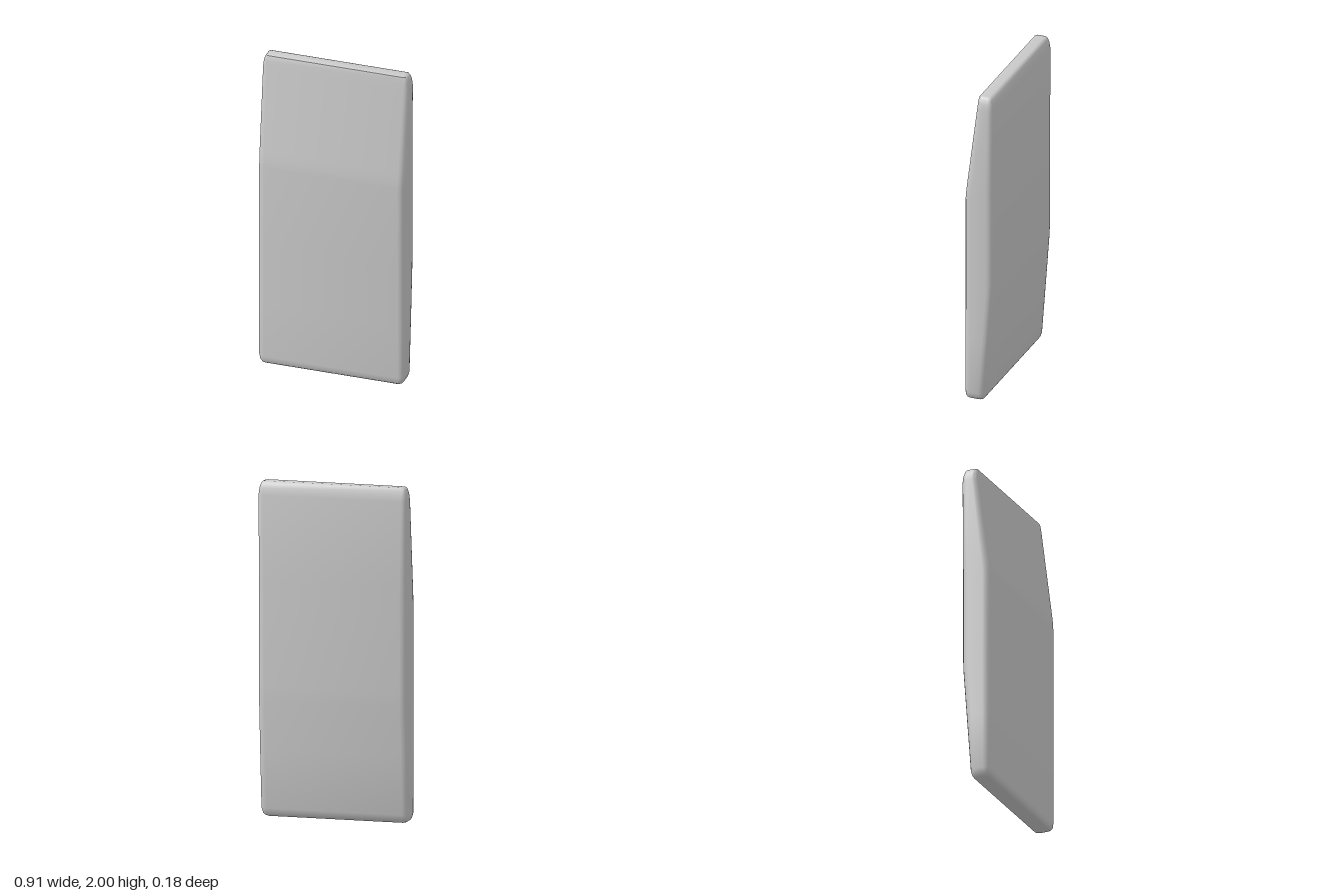
import * as THREE from 'three';
import { toCreasedNormals } from 'three/addons/utils/BufferGeometryUtils.js';

const STEPS = 4; // segments per rounded corner

// Horizontal sections: height, half width, front z, back z, corner radius
const SECTIONS = [
  [0, 0.42, 0.068, -0.008, 0.018],
  [0.008, 0.435, 0.08, -0.024, 0.025],
  [0.022, 0.445, 0.088, -0.034, 0.032],
  [0.05, 0.454, 0.09, -0.042, 0.04],
  [0.4, 0.455, 0.09, -0.068, 0.042],
  [0.7, 0.455, 0.09, -0.09, 0.043],
  [0.78, 0.455, 0.09, -0.093, 0.043],
  [1.3, 0.455, 0.09, -0.093, 0.043],
  [1.34, 0.455, 0.088, -0.093, 0.043],
  [1.4, 0.455, 0.081, -0.093, 0.042],
  [1.92, 0.455, 0.013, -0.093, 0.034],
  [1.96, 0.45, 0.008, -0.087, 0.028],
  [1.985, 0.441, 0.004, -0.079, 0.02],
  [1.996, 0.433, 0.001, -0.072, 0.015],
  [2, 0.42, -0.008, -0.06, 0.01],
];

// Rounded rectangle, running from the front towards +x
function sectionRing([y, w, front, back, r]) {
  const ring = [];
  const corners = [[w - r, front - r], [w - r, back + r], [r - w, back + r], [r - w, front - r]];
  corners.forEach(([cx, cz], q) => {
    for (let i = 0; i <= STEPS; i++) {
      const a = (q + i / STEPS) * Math.PI / 2;
      ring.push([cx + r * Math.sin(a), y, cz + r * Math.cos(a)]);
    }
  });
  return ring;
}

function loft(rings) {
  const n = rings[0].length;
  const positions = rings.flat(2);
  const index = [];
  for (let l = 0; l < rings.length - 1; l++) {
    for (let i = 0; i < n; i++) {
      const a = l * n + i, b = l * n + (i + 1) % n;
      index.push(a, b, b + n, a, b + n, a + n);
    }
  }
  // Flat bottom and top caps
  const last = (rings.length - 1) * n;
  for (let i = 1; i < n - 1; i++) {
    index.push(0, i + 1, i, last, last + i, last + i + 1);
  }
  const geometry = new THREE.BufferGeometry();
  geometry.setAttribute('position', new THREE.Float32BufferAttribute(positions, 3));
  geometry.setIndex(index);
  return toCreasedNormals(geometry, 0.75);
}

export function createModel() {
  const group = new THREE.Group();
  group.name = 'taperedPanel';
  const panel = new THREE.Mesh(
    loft(SECTIONS.map(sectionRing)),
    new THREE.MeshStandardMaterial({ color: 0xcccccc })
  );
  panel.name = 'panelBody';
  group.add(panel);
  return group;
}
